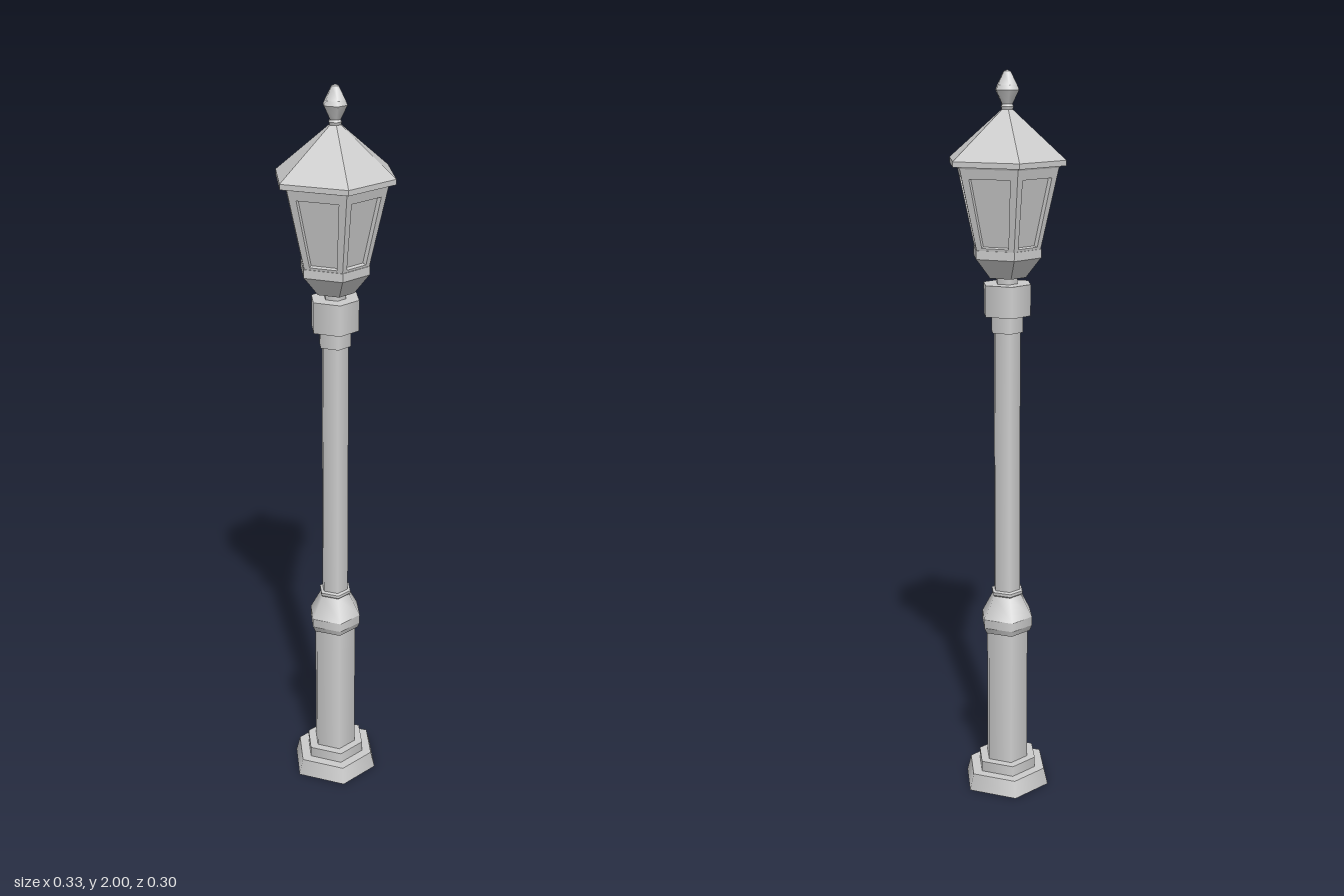
import * as THREE from 'three';
import { mergeGeometries } from 'three/addons/utils/BufferGeometryUtils.js';

const HALF = 0.555, DEPTH = 0.92; // hexagon corners: (+-1, 0) and (+-HALF, +-DEPTH)
const CORNERS = [[1, 0], [HALF, DEPTH], [-HALF, DEPTH], [-1, 0], [-HALF, -DEPTH], [HALF, -DEPTH]];
const material = new THREE.MeshStandardMaterial({ color: 0xcccccc });

// Six-sided lathe, creased between profile points; smooth or faceted around
function hexLathe(name, profile, faceted = false) {
  const bands = [];
  for (let i = 0; i < profile.length - 1; i++) {
    const pts = [profile[i], profile[i + 1]].map(([r, y]) => new THREE.Vector2(r, y));
    bands.push(new THREE.LatheGeometry(pts, 6, Math.PI / 2));
  }
  let geo = mergeGeometries(bands);
  // stretch the regular hexagon to the lamp's own plan
  const p = geo.attributes.position;
  for (let i = 0; i < p.count; i++) {
    const x = p.getX(i), z = p.getZ(i);
    const onSide = Math.abs(z) > Math.abs(x) * 0.5;
    p.setXYZ(i, onSide ? x * HALF / 0.5 : x, p.getY(i), z * DEPTH / Math.sqrt(0.75));
  }
  if (faceted) {
    geo = geo.toNonIndexed();
    geo.computeVertexNormals();
  }
  const mesh = new THREE.Mesh(geo, material);
  mesh.name = name;
  return mesh;
}

// One lantern side: a tilted frame around a recessed pane
function lanternSide(k) {
  const [y0, r0, y1, r1] = [1.545, 0.094, 1.757, 0.143];
  const a = CORNERS[(k + 1) % 6], b = CORNERS[k];
  const at = (c, r, y) => new THREE.Vector3(c[0] * r, y, c[1] * r);
  const bl = at(a, r0, y0), br = at(b, r0, y0), tl = at(a, r1, y1), tr = at(b, r1, y1);
  const point = (u, v) => bl.clone().lerp(br, u).lerp(tl.clone().lerp(tr, u), v);
  const normal = br.clone().sub(bl).cross(tl.clone().sub(bl)).normalize();
  const outer = [bl, br, tr, tl];
  const inner = [point(0.15, 0.03), point(0.85, 0.03), point(0.87, 0.88), point(0.13, 0.88)];
  const deep = inner.map(q => q.clone().addScaledVector(normal, -0.012));

  const build = quads => {
    const pts = quads.flatMap(([p, q, r, s]) => [p, q, r, p, r, s]);
    const geo = new THREE.BufferGeometry().setFromPoints(pts);
    geo.computeVertexNormals();
    return new THREE.Mesh(geo, material);
  };
  const frameQuads = [];
  for (let i = 0; i < 4; i++) {
    const j = (i + 1) % 4;
    frameQuads.push([outer[i], outer[j], inner[j], inner[i]], [inner[i], inner[j], deep[j], deep[i]]);
  }
  const side = new THREE.Group();
  side.name = 'lanternSide';
  const frame = build(frameQuads), pane = build([deep]);
  frame.name = 'windowFrame';
  pane.name = 'windowPane';
  side.add(frame, pane);
  return side;
}

export function createModel() {
  const lamp = new THREE.Group();
  lamp.name = 'streetLamp';

  // Stepped foot with a hollow underside
  lamp.add(hexLathe('foot', [
    [0, 0.03], [0.09, 0.03], [0.09, 0], [0.125, 0], [0.113, 0.047], [0.085, 0.047], [0.085, 0.077], [0.06, 0.077],
  ]));
  // Column, from the thick pedestal up to the slim shaft
  lamp.add(hexLathe('pedestal', [[0.061, 0.077], [0.061, 0.468]]));
  lamp.add(hexLathe('pedestalCollar', [
    [0.06, 0.468], [0.068, 0.468], [0.075, 0.485], [0.075, 0.51], [0.042, 0.572],
    [0.046, 0.576], [0.046, 0.584], [0.037, 0.588],
  ]));
  lamp.add(hexLathe('shaft', [[0.038, 0.585], [0.038, 1.32]]));
  lamp.add(hexLathe('capital', [
    [0.036, 1.32], [0.045, 1.32], [0.045, 1.366], [0.067, 1.366], [0.067, 1.45], [0.03, 1.45], [0.03, 1.47],
  ]));

  // Lantern
  const lantern = new THREE.Group();
  lantern.name = 'lantern';
  lantern.add(hexLathe('lanternCup', [
    [0.028, 1.468], [0.053, 1.468], [0.092, 1.518], [0.096, 1.522], [0.096, 1.545], [0.09, 1.545],
  ], true));
  for (let k = 0; k < 6; k++) lantern.add(lanternSide(k));
  lantern.add(hexLathe('roof', [
    [0.135, 1.757], [0.145, 1.757], [0.148, 1.762], [0.163, 1.762], [0.163, 1.776], [0.014, 1.902], [0, 1.902],
  ], true));
  lantern.add(hexLathe('finial', [
    [0.014, 1.895], [0.018, 1.908], [0.015, 1.914], [0.033, 1.95], [0.028, 1.962], [0.01, 1.996], [0, 2],
  ]));
  lamp.add(lantern);
  return lamp;
}
